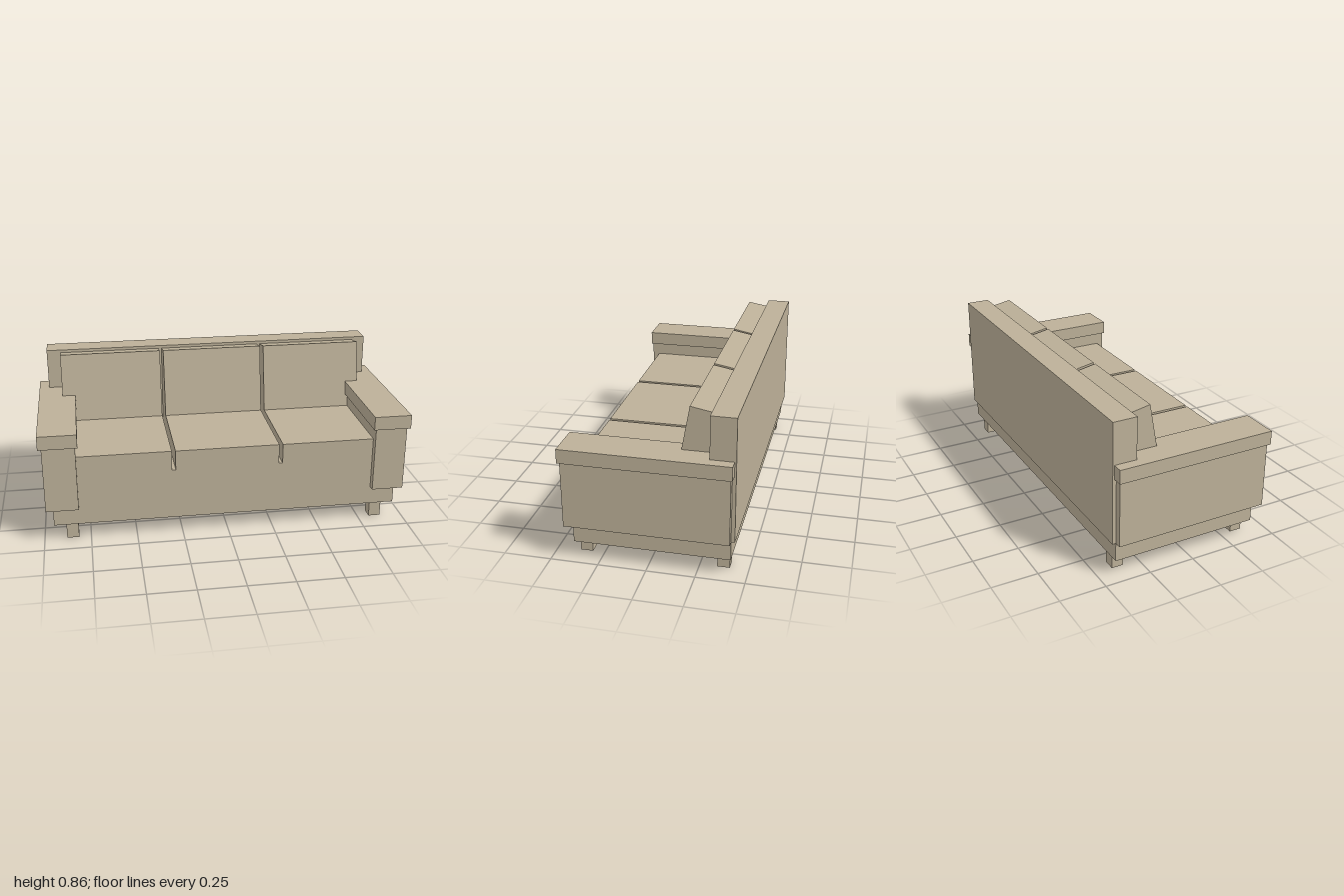
import * as THREE from 'three';

const fabric = new THREE.MeshStandardMaterial({ color: 0xbcb098 });

export function createModel() {
  const sofa = new THREE.Group();
  sofa.name = 'sofa';

  // Box given by its min and max along each axis
  const box = (name, [x0, x1], [y0, y1], [z0, z1]) => {
    const mesh = new THREE.Mesh(new THREE.BoxGeometry(x1 - x0, y1 - y0, z1 - z0), fabric);
    mesh.position.set((x0 + x1) / 2, (y0 + y1) / 2, (z0 + z1) / 2);
    mesh.name = name;
    sofa.add(mesh);
  };

  // Frame
  box('base', [-0.945, 0.945], [0.087, 0.37], [-0.418, 0.39]);
  box('backrest', [-0.945, 0.945], [0.19, 0.85], [-0.437, -0.308]);

  // Arms, arm caps and legs on both sides
  for (const [side, s] of [['left', 1], ['right', -1]]) {
    const span = (a, b) => (s > 0 ? [a, b] : [-b, -a]);
    box(side + 'Arm', span(0.808, 0.982), [0.19, 0.55], [-0.418, 0.429]);
    box(side + 'ArmCap', span(0.795, 1), [0.55, 0.625], [-0.428, 0.437]);
    box(side + 'FrontLeg', span(0.815, 0.88), [0, 0.087], [0.313, 0.378]);
    box(side + 'BackLeg', span(0.815, 0.88), [0, 0.087], [-0.403, -0.339]);
  }

  // Wedge section of a back cushion, drawn as (-z, y)
  const wedge = new THREE.Shape([
    [0.127, 0.48], [0.308, 0.48], [0.308, 0.834], [0.195, 0.855],
  ].map(([x, y]) => new THREE.Vector2(x, y)));

  // Three seat cushions and three back cushions with narrow gaps
  const width = 0.565, pitch = 0.585;
  for (let i = -1; i <= 1; i++) {
    const x0 = i * pitch - width / 2;
    box('seatCushion', [x0, x0 + width], [0.37, 0.48], [-0.308, 0.39]);
    const geometry = new THREE.ExtrudeGeometry(wedge, { depth: width, bevelEnabled: false });
    geometry.rotateY(Math.PI / 2);
    const cushion = new THREE.Mesh(geometry, fabric);
    cushion.position.x = x0;
    cushion.name = 'backCushion';
    sofa.add(cushion);
  }
  return sofa;
}
